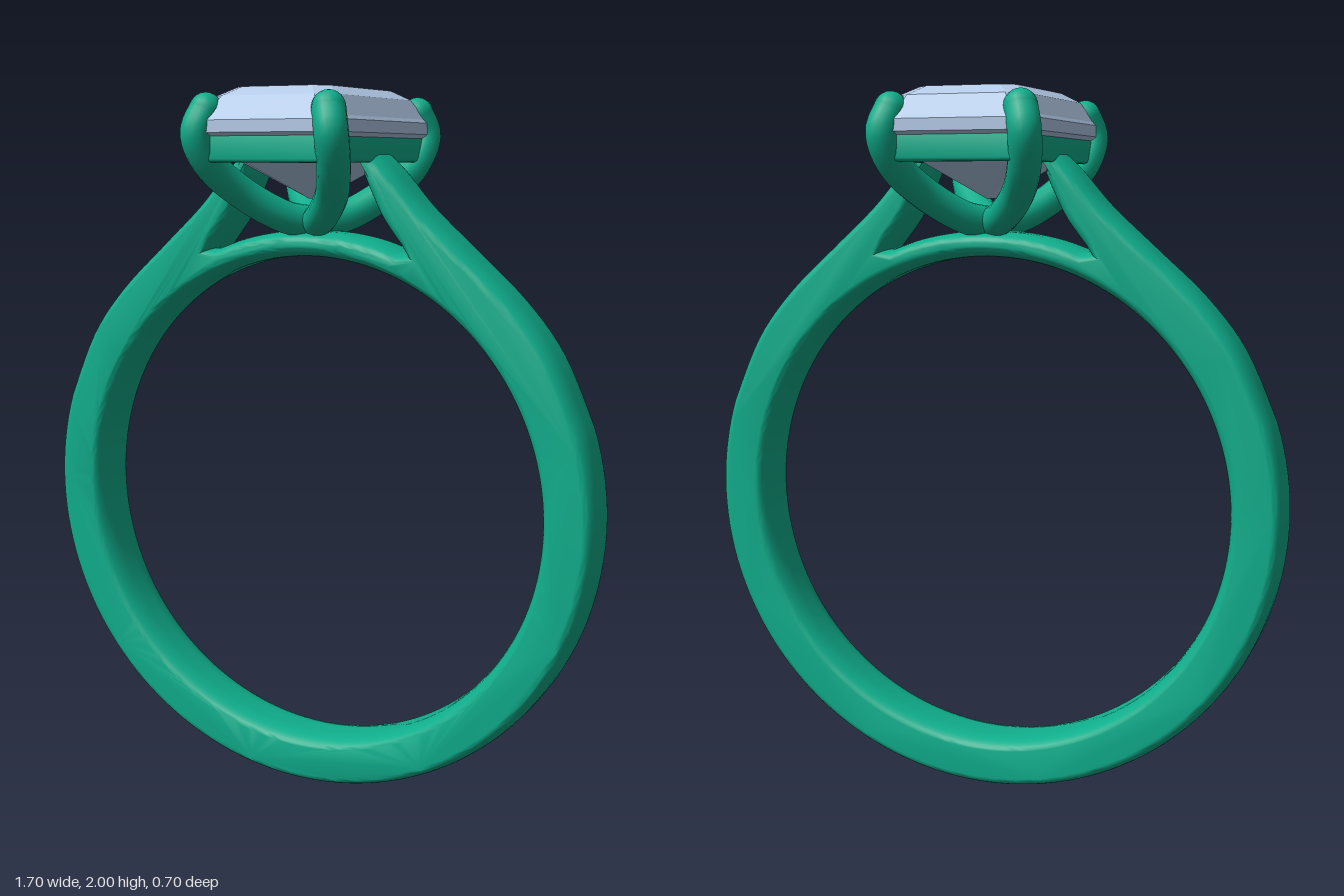
import * as THREE from 'three';
import { mergeVertices, toCreasedNormals } from 'three/addons/utils/BufferGeometryUtils.js';

const metal = new THREE.MeshStandardMaterial({ color: 0x0fae8c });
const stone = new THREE.MeshStandardMaterial({ color: 0xb4cbe8, flatShading: true });

const CENTRE = 0.845; // height of the finger hole's centre
const v2 = (p) => new THREE.Vector2(...p);
const spline = (pts, n) => new THREE.SplineCurve(pts.map(v2)).getPoints(n);

function smooth(geo, angle = 0.6) {
  geo.deleteAttribute('uv');
  geo.deleteAttribute('normal');
  return toCreasedNormals(mergeVertices(geo, 1e-4), angle);
}

function part(name, geo, mat) {
  const m = new THREE.Mesh(geo, mat);
  m.name = name;
  return m;
}

// Shank, split shoulders and bridge in one rounded profile
function bandGeometry() {
  const half = [];
  for (let i = 0; i <= 44; i++) {
    const a = -Math.PI / 2 + (i / 44) * (Math.PI / 2 + 0.32);
    half.push(new THREE.Vector2(0.85 * Math.cos(a), CENTRE + 0.845 * Math.sin(a)));
  }
  const shoulder = [[0.807, 1.111], [0.72, 1.3], [0.61, 1.44], [0.47, 1.568], [0.34, 1.685], [0.25, 1.785], [0.172, 1.855]];
  const underside = [[0.172, 1.77], [0.195, 1.72], [0.235, 1.645], [0.3, 1.562]];
  const bridge = [[0.285, 1.563], [0.2, 1.592], [0.1, 1.611], [0, 1.616]];
  half.push(...spline(shoulder, 30).slice(1), ...spline(underside, 12), ...spline(bridge, 12));
  const mirrored = half.slice(1, -1).reverse().map((p) => new THREE.Vector2(-p.x, p.y));
  const shape = new THREE.Shape([...half, ...mirrored]);
  const hole = new THREE.Path();
  hole.absarc(0, CENTRE, 0.7, 0, Math.PI * 2, true);
  shape.holes.push(hole);
  const geo = new THREE.ExtrudeGeometry(shape, {
    depth: 0.04, bevelThickness: 0.07, bevelSize: 0.03, bevelOffset: -0.03, bevelSegments: 8, curveSegments: 96,
  });
  return smooth(geo.translate(0, 0, -0.02), 0.7);
}

// Rectangular rail under the stone
function railGeometry() {
  const rect = (w, d, c) => [[w - c, -d], [w, c - d], [w, d - c], [w - c, d], [c - w, d], [-w, d - c], [-w, c - d], [c - w, -d]].map(v2);
  const shape = new THREE.Shape(rect(0.208, 0.312, 0.04));
  shape.holes.push(new THREE.Path(rect(0.16, 0.264, 0.025)));
  const geo = new THREE.ExtrudeGeometry(shape, {
    depth: 0.06, bevelThickness: 0.01, bevelSize: 0.01, bevelOffset: -0.01, bevelSegments: 3,
  });
  return smooth(geo.rotateX(-Math.PI / 2).translate(0, 1.812, 0));
}

// Step-cut stone: eight-sided levels joined by flat facets
function gemGeometry() {
  const levels = [ // height, half width, half depth, corner cut
    [1.705, 0.004, 0.04, 0.002], [1.8, 0.135, 0.2, 0.03], [1.88, 0.22, 0.326, 0.05],
    [1.912, 0.22, 0.326, 0.05], [1.922, 0.212, 0.318, 0.05], [1.975, 0.182, 0.28, 0.045], [2, 0.138, 0.228, 0.035],
  ];
  const pos = [];
  const idx = [];
  for (const [y, w, d, c] of levels) {
    for (const [x, z] of [[w, d - c], [w, c - d], [w - c, -d], [c - w, -d], [-w, c - d], [-w, d - c], [c - w, d], [w - c, d]]) pos.push(x, y, z);
  }
  for (let l = 0; l < levels.length - 1; l++) {
    for (let i = 0; i < 8; i++) {
      const a = l * 8 + i, b = l * 8 + ((i + 1) % 8);
      idx.push(a, b, b + 8, a, b + 8, a + 8);
    }
  }
  const top = (levels.length - 1) * 8;
  for (let i = 1; i < 7; i++) idx.push(top, top + i, top + i + 1, 0, i + 1, i);
  const geo = new THREE.BufferGeometry();
  geo.setAttribute('position', new THREE.Float32BufferAttribute(pos, 3));
  geo.setIndex(idx);
  const flat = geo.toNonIndexed();
  flat.computeVertexNormals();
  return flat;
}

// Curved claw from the base of the head up over a stone corner
function prong(sx, sz) {
  const path = [[0, 1.638, 0.01], [0.055, 1.655, 0.08], [0.135, 1.72, 0.175], [0.185, 1.8, 0.267], [0.198, 1.88, 0.307], [0.181, 1.94, 0.287]]
    .map(([x, y, z]) => new THREE.Vector3(x * sx, y, z * sz));
  const group = new THREE.Group();
  group.name = 'prong';
  group.add(part('prongStem', new THREE.TubeGeometry(new THREE.CatmullRomCurve3(path), 36, 0.045, 16), metal));
  for (const [name, p] of [['prongFoot', path[0]], ['prongTip', path[path.length - 1]]]) {
    const cap = part(name, new THREE.SphereGeometry(0.045, 16, 12), metal);
    cap.position.copy(p);
    group.add(cap);
  }
  return group;
}

export function createModel() {
  const ring = new THREE.Group();
  ring.name = 'ring';
  ring.add(part('band', bandGeometry(), metal));
  ring.add(part('basketRail', railGeometry(), metal));
  ring.add(part('gemstone', gemGeometry(), stone));
  for (const sx of [-1, 1]) for (const sz of [-1, 1]) ring.add(prong(sx, sz));
  return ring;
}
